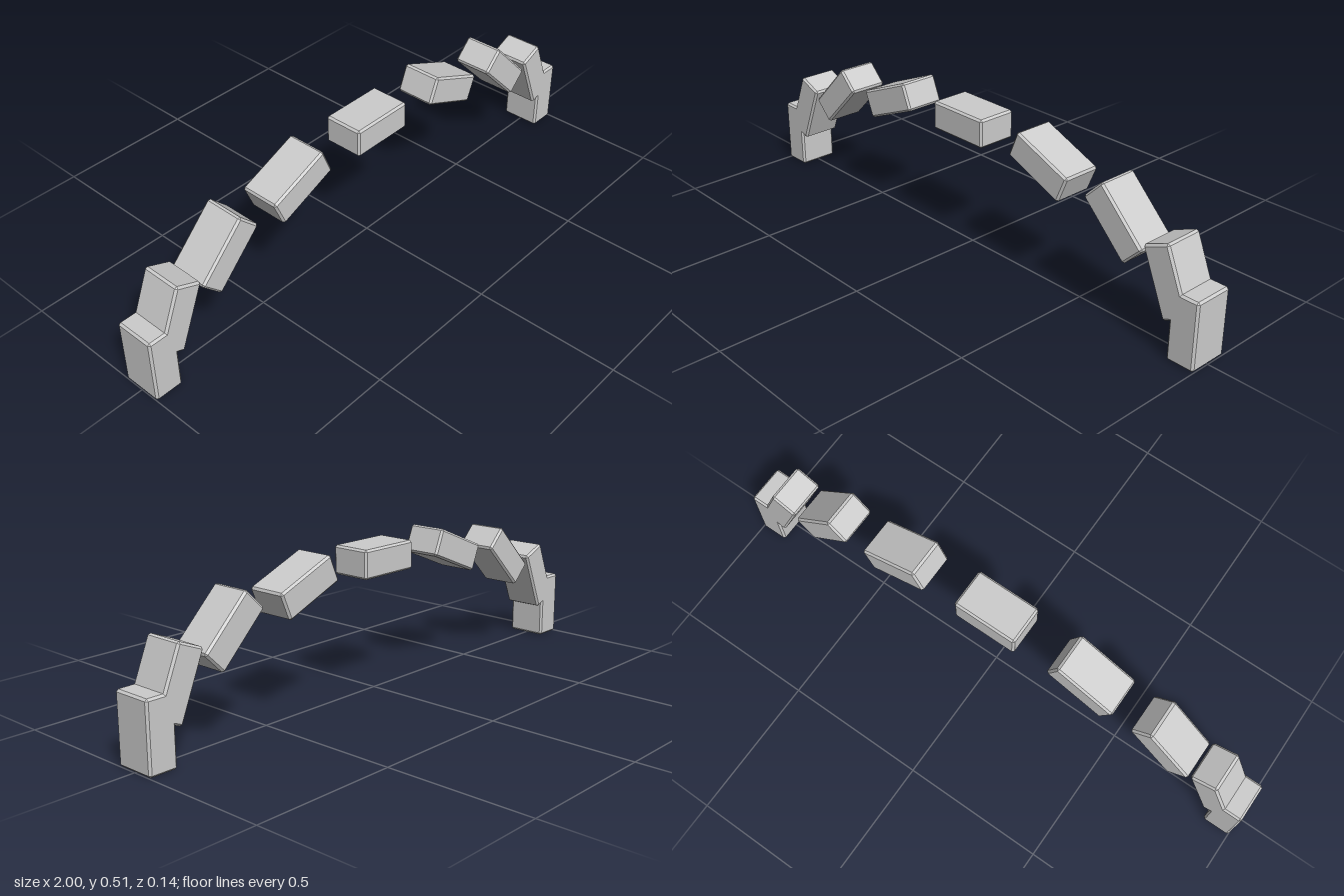
import * as THREE from 'three';
import { ConvexGeometry } from 'three/addons/geometries/ConvexGeometry.js';

// Box with flat chamfers on all edges: three points at each corner
function chamferedBox(w, h, d, c) {
  const points = [];
  for (const sx of [-1, 1]) for (const sy of [-1, 1]) for (const sz of [-1, 1]) {
    const x = w / 2, y = h / 2, z = d / 2;
    for (const [px, py, pz] of [[x, y - c, z - c], [x - c, y, z - c], [x - c, y - c, z]]) {
      points.push(new THREE.Vector3(sx * px, sy * py, sz * pz));
    }
  }
  return new ConvexGeometry(points);
}

export function createModel() {
  const group = new THREE.Group();
  group.name = 'blockArch';

  const stone = new THREE.MeshStandardMaterial({ color: 0xcccccc });
  stone.name = 'light grey';

  const length = 0.231, thickness = 0.098, depth = 0.141;
  const block = chamferedBox(length, thickness, depth, 0.007);

  // Nine blocks along a half ellipse, each turned by its own angle
  const radiusX = 1 - thickness / 2, radiusY = 0.336;
  for (let i = -4; i <= 4; i++) {
    const angle = (i * Math.PI) / 8;
    const mesh = new THREE.Mesh(block, stone);
    mesh.name = i === 0 ? 'topBlock' : (i > 0 ? 'leftBlock' : 'rightBlock') + Math.abs(i);
    mesh.position.set(radiusX * Math.sin(angle), length / 2 + radiusY * Math.cos(angle), 0);
    mesh.rotation.z = -angle;
    group.add(mesh);
  }
  return group;
}
